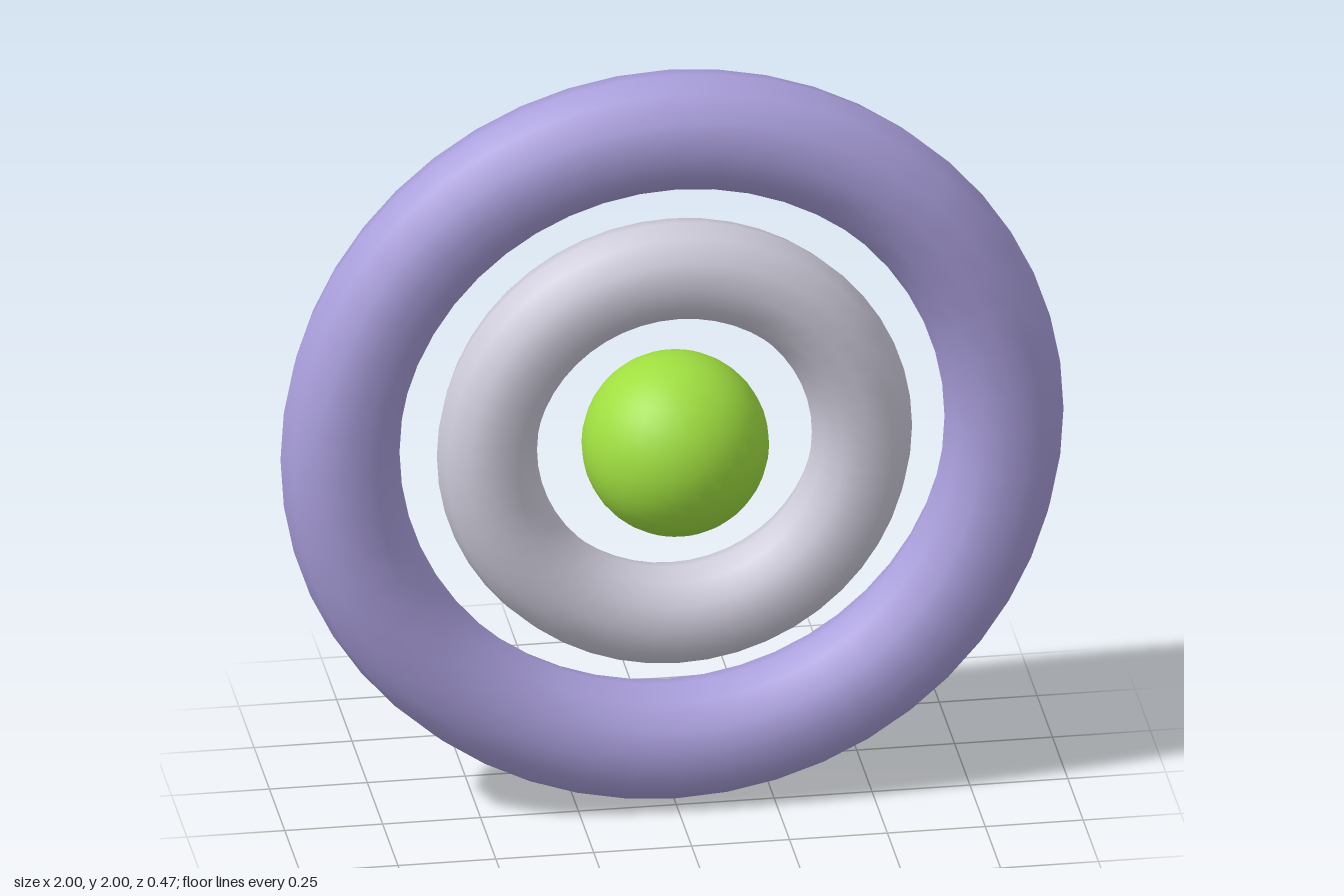
import * as THREE from 'three';

const material = (name, color) => {
  const m = new THREE.MeshStandardMaterial({ color });
  m.name = name;
  return m;
};

export function createModel() {
  const model = new THREE.Group();
  model.name = 'ringedBall';

  const add = (name, geometry, mat, z) => {
    const mesh = new THREE.Mesh(geometry, mat);
    mesh.name = name;
    mesh.position.set(0, 1, z);
    model.add(mesh);
  };

  // Two concentric upright rings, each set a little further forward
  add('outerRing', new THREE.TorusGeometry(0.848, 0.152, 12, 48), material('lavender', 0xaa9fdc), -0.07);
  add('innerRing', new THREE.TorusGeometry(0.479, 0.128, 12, 48), material('paleGrey', 0xcfccdb), -0.03);

  // Ball in the middle
  add('centreBall', new THREE.SphereGeometry(0.237, 32, 20), material('limeGreen', 0x9fde40), -0.016);

  return model;
}
